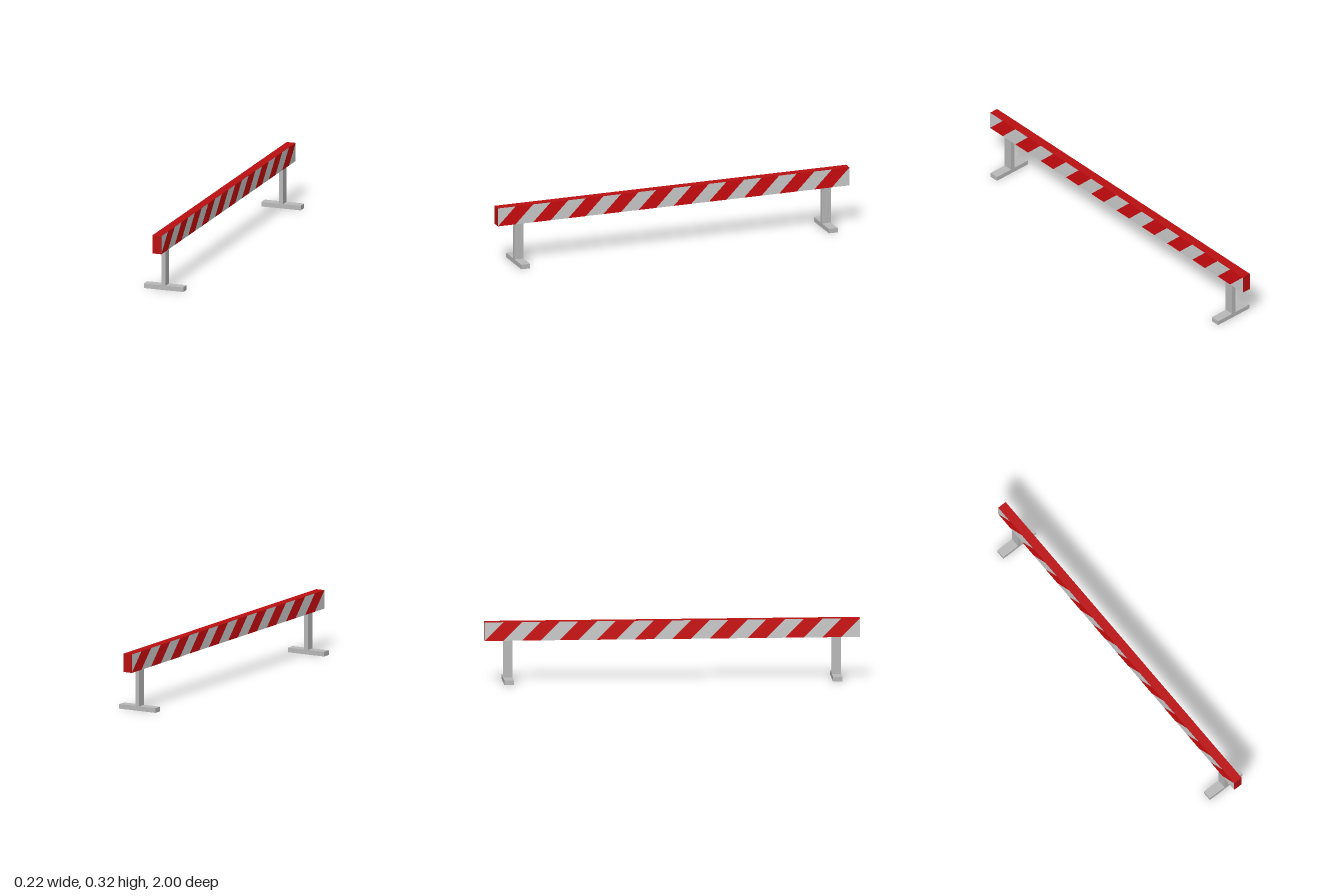
import * as THREE from 'three';

const material = (name, color) => new THREE.MeshStandardMaterial({ name, color });

export function createModel() {
  const bodyRed = material('body red', 0xbb0f11);
  const stripeRed = material('stripe red', 0xcf0c0f);
  const stripeWhite = material('stripe white', 0xcccccc);
  const metal = material('grey metal', 0xbababa);

  const model = new THREE.Group();
  model.name = 'barrier';
  const add = (parent, name, geometry, mat) => {
    const mesh = new THREE.Mesh(geometry, mat);
    mesh.name = name;
    parent.add(mesh);
    return mesh;
  };

  // Long beam
  const bottom = 0.225, top = 0.325, halfWidth = 0.025;
  const beam = add(model, 'beam', new THREE.BoxGeometry(halfWidth * 2, top - bottom, 2), bodyRed);
  beam.position.y = (bottom + top) / 2;

  // Slanted stripes, cut off at the beam ends
  const clamp = (v) => THREE.MathUtils.clamp(v, -1, 1);
  const stripe = (x) => new THREE.Shape([
    new THREE.Vector2(clamp(x), bottom),
    new THREE.Vector2(clamp(x + 0.1), bottom),
    new THREE.Vector2(clamp(x + 0.2), top),
    new THREE.Vector2(clamp(x + 0.1), top),
  ]);
  const redStripes = [], whiteStripes = [];
  for (let i = 0; i <= 10; i++) {
    whiteStripes.push(stripe(-1.1 + i * 0.2));
    if (i < 10) redStripes.push(stripe(-1 + i * 0.2));
  }
  const redGeometry = new THREE.ShapeGeometry(redStripes);
  const whiteGeometry = new THREE.ShapeGeometry(whiteStripes);
  for (const side of [1, -1]) {
    const panel = new THREE.Group();
    panel.name = side > 0 ? 'leftStripes' : 'rightStripes';
    panel.rotation.y = side * Math.PI / 2;
    panel.position.x = side * (halfWidth + 0.0006);
    add(panel, 'redStripes', redGeometry, stripeRed);
    add(panel, 'whiteStripes', whiteGeometry, stripeWhite);
    model.add(panel);
  }

  // Inverted T stands, post and foot in one profile
  const half = [[0.112, 0], [0.112, 0.025], [0.012, 0.025], [0.012, bottom]];
  const profile = [...half, ...half.map(([x, y]) => [-x, y]).reverse()];
  const standShape = new THREE.Shape(profile.map(([x, y]) => new THREE.Vector2(x, y)));
  const standGeometry = new THREE.ExtrudeGeometry(standShape, { depth: 0.05, bevelEnabled: false });
  standGeometry.translate(0, 0, -0.025);
  for (const end of [1, -1]) {
    const stand = add(model, end > 0 ? 'frontStand' : 'backStand', standGeometry, metal);
    stand.position.z = end * 0.875;
  }
  return model;
}
